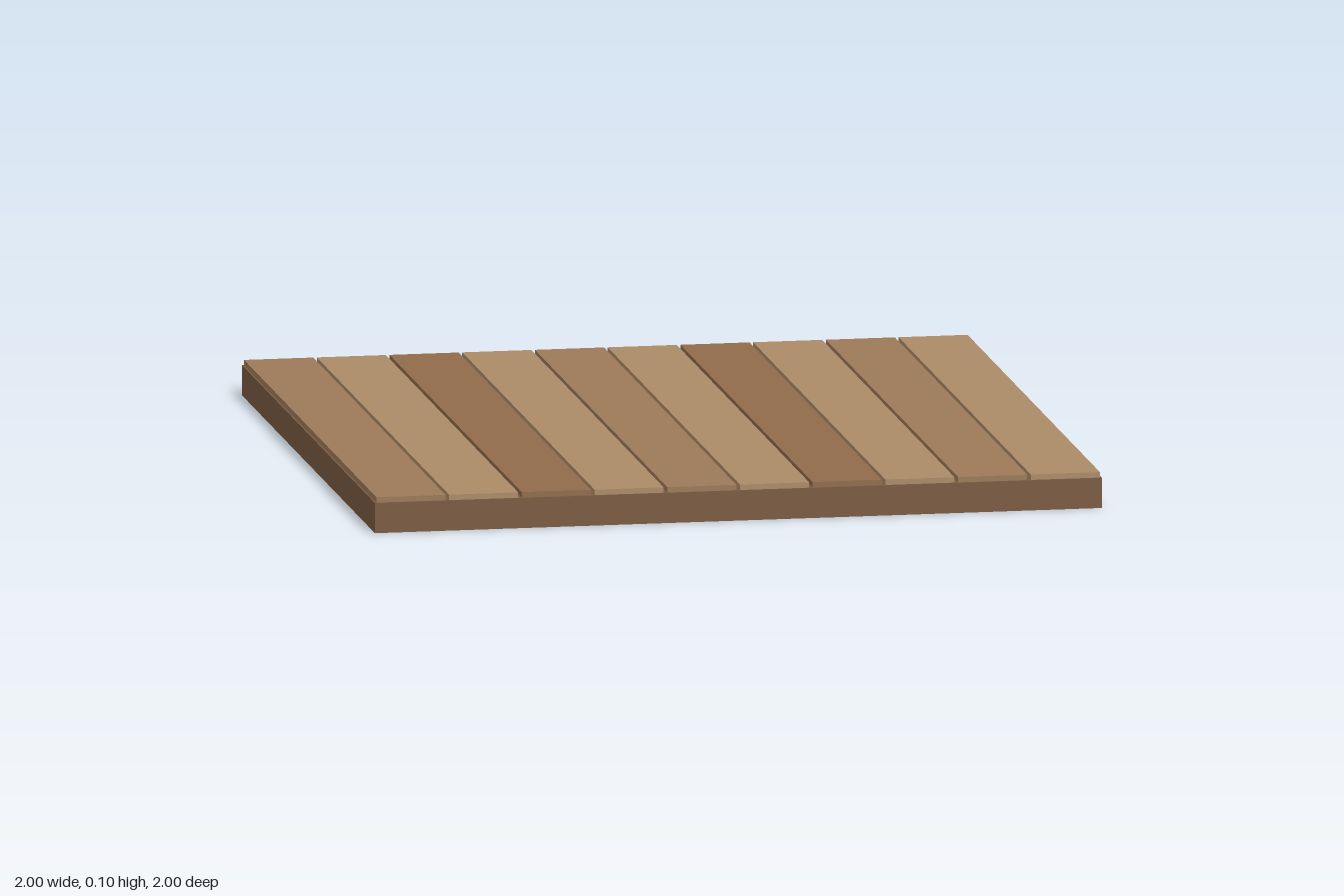
import * as THREE from 'three';

const SIZE = 2, BASE_HEIGHT = 0.083, TOP = 0.098, PLANKS = 10, GAP = 0.01;

function box(name, w, h, d, x, bottom, color) {
  const mesh = new THREE.Mesh(
    new THREE.BoxGeometry(w, h, d),
    new THREE.MeshStandardMaterial({ color })
  );
  mesh.name = name;
  mesh.position.set(x, bottom + h / 2, 0);
  return mesh;
}

export function createModel() {
  const group = new THREE.Group();
  group.name = 'plankFloor';

  // solid slab under the boards
  group.add(box('base', SIZE, BASE_HEIGHT, SIZE, 0, 0, 0x7a5a40));

  // boards running front to back, in a repeating set of wood tones
  const tones = [0x9c7a58, 0xac8b67, 0x8f6b4a, 0xac8b67];
  const pitch = SIZE / PLANKS;
  for (let i = 0; i < PLANKS; i++) {
    const x = -SIZE / 2 + (i + 0.5) * pitch;
    group.add(box(`plank${i + 1}`, pitch - GAP, TOP - BASE_HEIGHT, SIZE - GAP,
      x, BASE_HEIGHT, tones[i % tones.length]));
  }
  return group;
}
